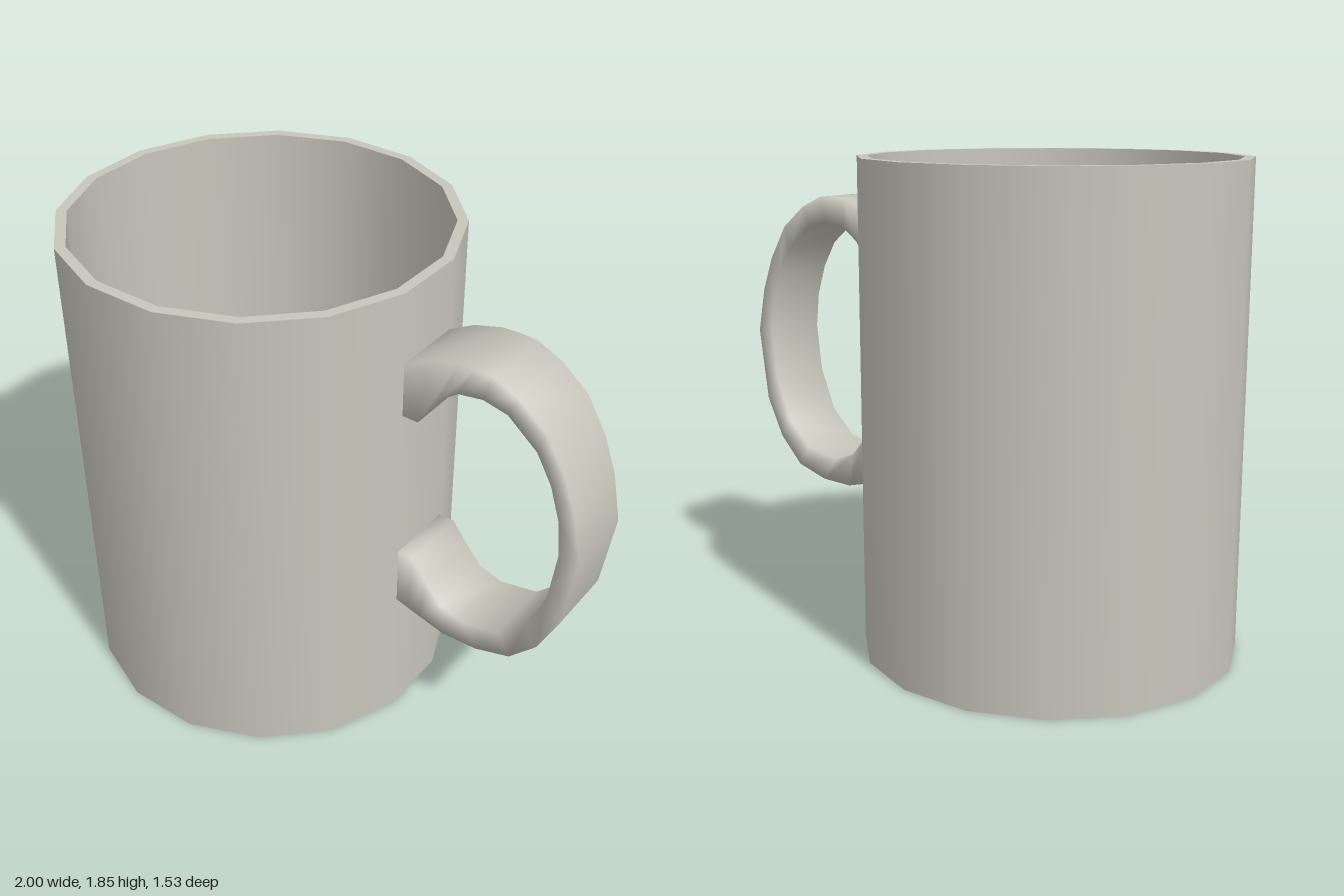
import * as THREE from 'three';
import { mergeGeometries } from 'three/addons/utils/BufferGeometryUtils.js';

const SIDES = 16;
const HEIGHT = 1.85;
const OUTER = 0.717;
const INNER = 0.678;
const FLOOR = 0.05;

// Hollow cup: each straight run of the profile is lathed alone, so the rims stay sharp
function cupGeometry() {
  const profile = [
    [0, 0], [OUTER, 0], [OUTER, HEIGHT], [INNER, HEIGHT], [INNER, FLOOR], [0, FLOOR],
  ].map(([r, y]) => new THREE.Vector2(r, y));
  const runs = [];
  for (let i = 0; i < profile.length - 1; i++) {
    runs.push(new THREE.LatheGeometry([profile[i], profile[i + 1]], SIDES, Math.PI / SIDES));
  }
  return mergeGeometries(runs);
}

// Strap handle: rectangular sections swept from the upper to the lower joint
function handleGeometry() {
  const half = 0.135;
  // inner distance, inner height, outer distance, outer height
  const sections = [
    [0.70, 1.375, 0.70, 1.58],
    [0.765, 1.375, 0.80, 1.635],
    [0.846, 1.50, 0.91, 1.665],
    [0.915, 1.55, 0.97, 1.667],
    [1.007, 1.565, 1.036, 1.665],
    [1.10, 1.545, 1.135, 1.62],
    [1.215, 1.45, 1.24, 1.535],
    [1.275, 1.345, 1.32, 1.40],
    [1.315, 1.22, 1.37, 1.265],
    [1.33, 1.08, 1.405, 1.09],
    [1.307, 0.89, 1.365, 0.80],
    [1.238, 0.72, 1.29, 0.645],
    [1.135, 0.62, 1.187, 0.537],
    [0.985, 0.59, 1.05, 0.495],
    [0.892, 0.62, 0.91, 0.49],
    [0.823, 0.70, 0.81, 0.515],
    [0.765, 0.775, 0.755, 0.53],
    [0.70, 0.775, 0.70, 0.545],
  ];
  const positions = [];
  const index = [];
  sections.forEach(([iu, iy, ou, oy], i) => {
    positions.push(iu, iy, -half, iu, iy, half, ou, oy, half, ou, oy, -half);
    if (i === sections.length - 1) return;
    for (let j = 0; j < 4; j++) {
      const k = (j + 1) % 4;
      const a = i * 4 + j, b = a + 4, c = (i + 1) * 4 + k, d = i * 4 + k;
      index.push(a, b, c, a, c, d);
    }
  });
  const geometry = new THREE.BufferGeometry();
  geometry.setAttribute('position', new THREE.Float32BufferAttribute(positions, 3));
  geometry.setIndex(index);
  geometry.computeVertexNormals();
  return geometry;
}

export function createModel() {
  const ceramic = new THREE.MeshStandardMaterial({ color: 0xc8c6bc });
  ceramic.name = 'warm grey ceramic';

  const cup = new THREE.Mesh(cupGeometry(), ceramic);
  cup.name = 'cup';
  const handle = new THREE.Mesh(handleGeometry(), ceramic);
  handle.name = 'handle';

  // The handle points forward and to the side
  const mug = new THREE.Group();
  mug.name = 'mug';
  mug.add(cup, handle);
  mug.rotation.y = -Math.PI / 6;
  mug.position.set(-0.285, 0, -0.053);

  const model = new THREE.Group();
  model.add(mug);
  return model;
}
